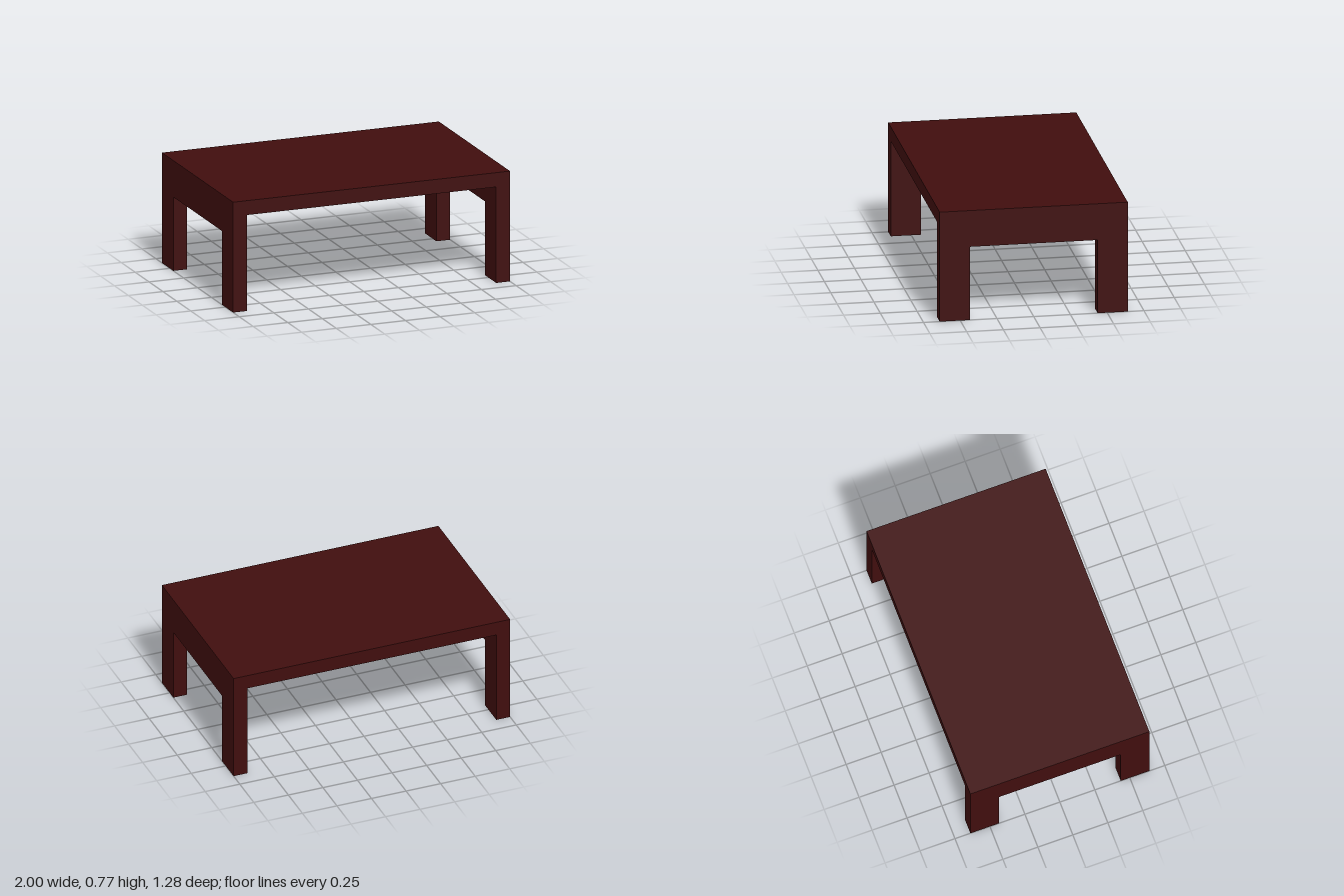
import * as THREE from 'three';

const LENGTH = 2, DEPTH = 1.28, HEIGHT = 0.77;
const THICK = 0.1;          // board thickness
const RECESS = 0.04;        // depth of the underside recesses
const UNDER = HEIGHT - THICK;
const OPEN_Z = 0.435;       // half width of the end openings and recesses

function rectPath(target, x0, x1, y0, y1) {
  target.moveTo(x0, y0);
  target.lineTo(x1, y0);
  target.lineTo(x1, y1);
  target.lineTo(x0, y1);
  target.closePath();
  return target;
}

export function createModel() {
  const table = new THREE.Group();
  table.name = 'lowTable';
  const wood = new THREE.MeshStandardMaterial({ color: 0x400e0e });
  wood.name = 'dark mahogany';

  const add = (name, geometry) => {
    const mesh = new THREE.Mesh(geometry, wood);
    mesh.name = name;
    table.add(mesh);
    return mesh;
  };

  // Solid upper layer of the top
  const slab = THICK - RECESS;
  add('tableTop', new THREE.BoxGeometry(LENGTH, slab, DEPTH))
    .position.y = HEIGHT - slab / 2;

  // Lower layer, cut through by three recesses
  const layer = rectPath(new THREE.Shape(), -LENGTH / 2, LENGTH / 2, -DEPTH / 2, DEPTH / 2);
  for (const [x0, x1] of [[-0.9, -0.5], [-0.27, 0.27], [0.5, 0.9]]) {
    layer.holes.push(rectPath(new THREE.Path(), x0, x1, -OPEN_Z, OPEN_Z));
  }
  const layerGeometry = new THREE.ExtrudeGeometry(layer, { depth: RECESS, bevelEnabled: false });
  layerGeometry.rotateX(-Math.PI / 2);
  add('recessedUnderside', layerGeometry).position.y = UNDER;

  // End frames: two legs joined by a rail
  const frame = new THREE.Shape();
  const hz = DEPTH / 2, openY = 0.515;
  frame.moveTo(-hz, 0);
  frame.lineTo(-OPEN_Z, 0);
  frame.lineTo(-OPEN_Z, openY);
  frame.lineTo(OPEN_Z, openY);
  frame.lineTo(OPEN_Z, 0);
  frame.lineTo(hz, 0);
  frame.lineTo(hz, UNDER);
  frame.lineTo(-hz, UNDER);
  frame.closePath();
  const frameGeometry = new THREE.ExtrudeGeometry(frame, { depth: THICK, bevelEnabled: false });
  frameGeometry.translate(0, 0, -THICK / 2).rotateY(Math.PI / 2);
  for (const side of [1, -1]) {
    add(side > 0 ? 'leftEndFrame' : 'rightEndFrame', frameGeometry)
      .position.x = side * (LENGTH - THICK) / 2;
  }
  return table;
}
